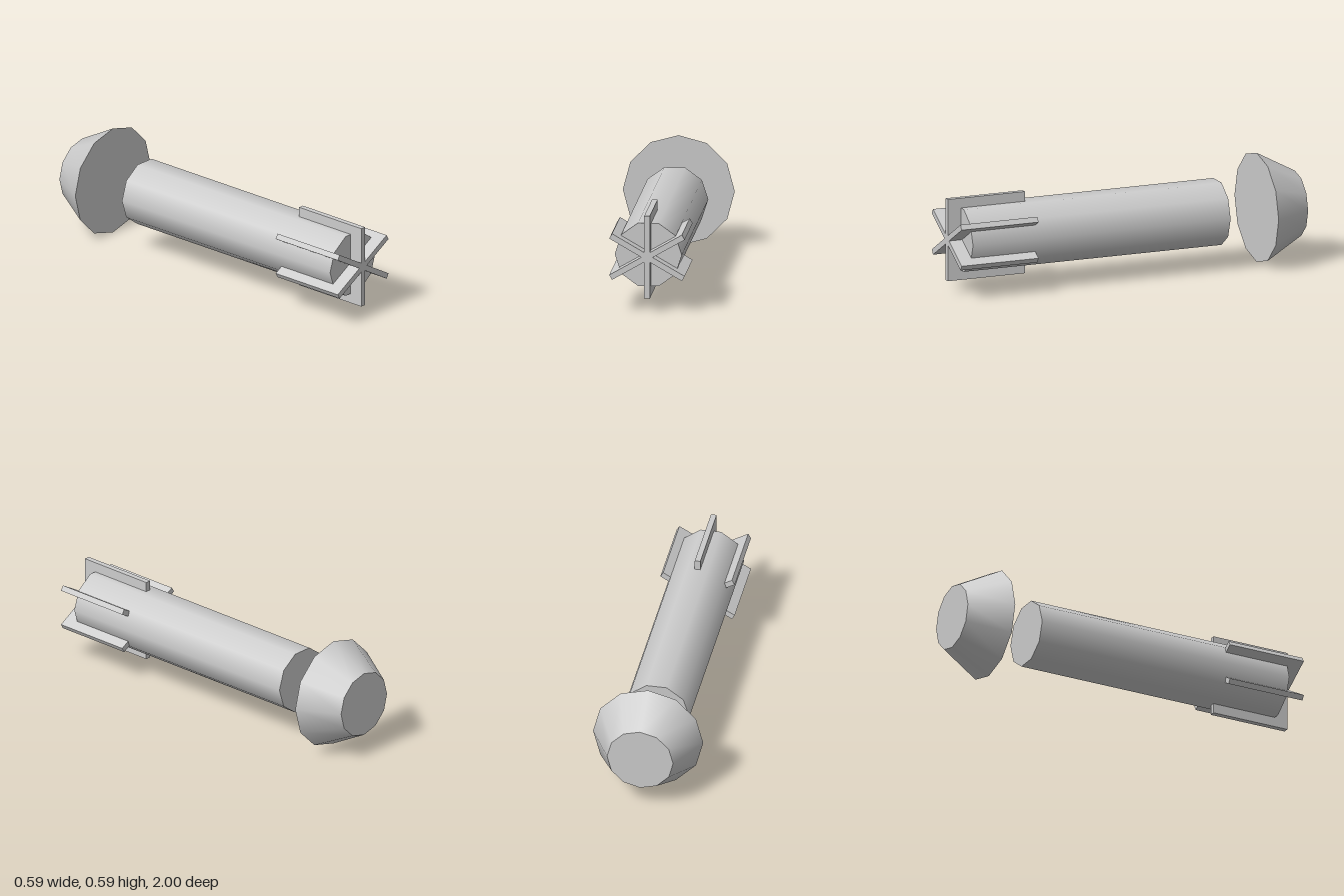
import * as THREE from 'three';

export function createModel() {
  const group = new THREE.Group();
  const grey = new THREE.MeshStandardMaterial({ color: 0xcccccc });
  grey.name = 'light grey';
  const axisY = 0.297;

  // Round part lying along z, from zBack to zFront
  function addRound(name, rFront, rBack, zBack, zFront, sides, start) {
    const geo = new THREE.CylinderGeometry(rFront, rBack, zFront - zBack, sides, 1, false, start);
    geo.rotateX(Math.PI / 2);
    const mesh = new THREE.Mesh(geo, grey);
    mesh.name = name;
    mesh.position.set(0, axisY, (zFront + zBack) / 2);
    group.add(mesh);
  }

  // Ten-sided shaft, with a corner pointing to each side
  addRound('shaft', 0.178, 0.178, -0.555, 0.925, 10, Math.PI / 2);

  // Detached tapered cap behind the shaft
  addRound('taperedCap', 0.297, 0.178, -1, -0.78, 12, 0);

  // Three crossed plates form the six fins
  const fins = new THREE.Group();
  fins.name = 'fins';
  fins.position.set(0, axisY, 0.779);
  for (let i = 0; i < 3; i++) {
    const fin = new THREE.Mesh(new THREE.BoxGeometry(0.03, 0.445, 0.442), grey);
    fin.name = 'finPlate' + (i + 1);
    fin.rotation.z = (i * Math.PI) / 3;
    fins.add(fin);
  }
  group.add(fins);

  return group;
}
